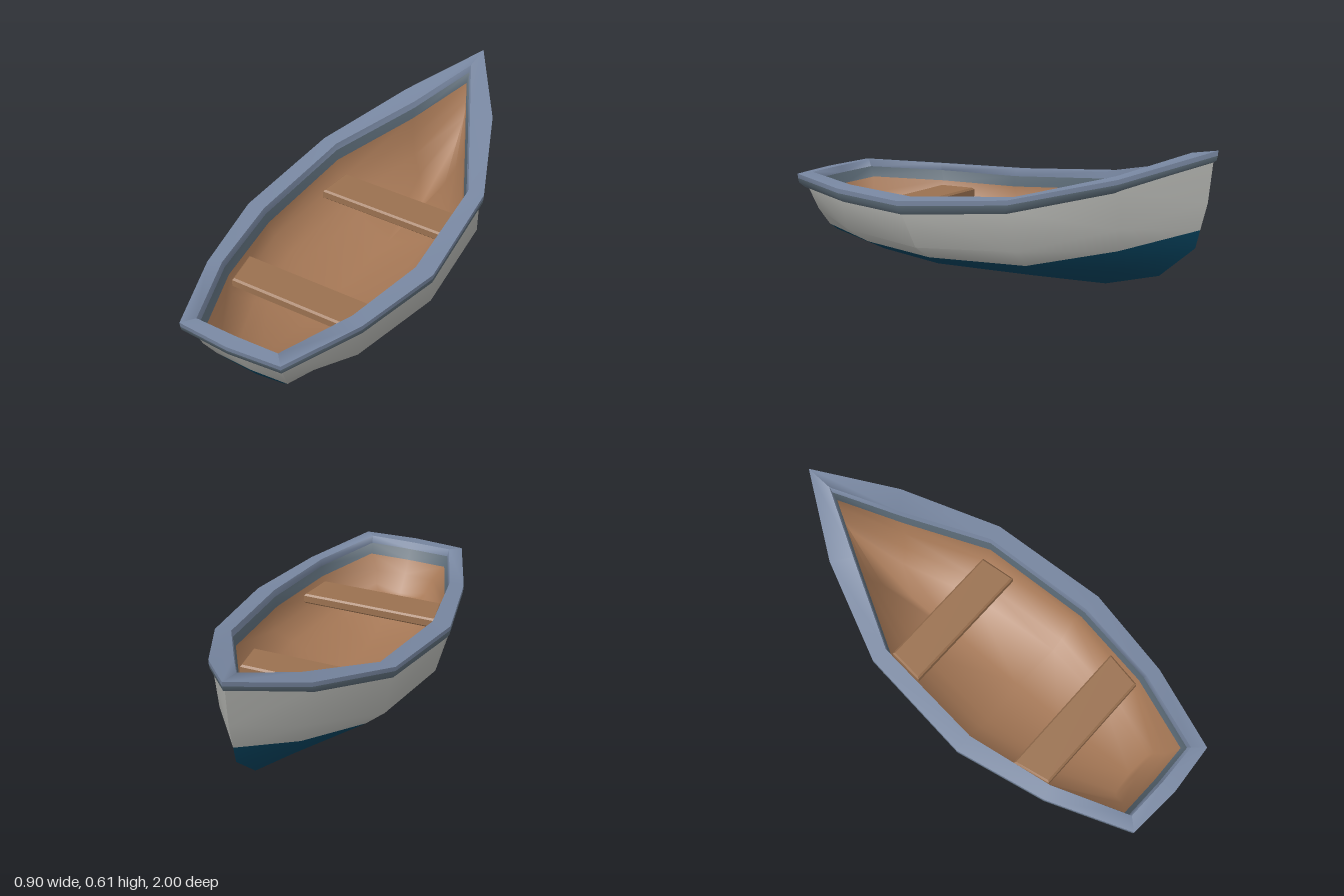
import * as THREE from 'three';
import { toCreasedNormals } from 'three/addons/utils/BufferGeometryUtils.js';

const mat = (name, color) => new THREE.MeshStandardMaterial({ name, color });

// Closed loop round the boat: bow, left side, stern centre, right side.
// pts run from bow to stern corner; sternZ pushes the stern centre outward.
function loop(pts, sternZ = 0.01) {
  const last = pts[pts.length - 1];
  const v = pts.map(p => new THREE.Vector3(...p));
  const mirrored = v.slice(1).reverse().map(p => new THREE.Vector3(-p.x, p.y, p.z));
  return [...v, new THREE.Vector3(0, last[1], last[2] + sternZ), ...mirrored];
}

// Skin between successive loops; bands gives the material index of each strip.
function skin(loops, bands, crease) {
  const pos = [], geo = new THREE.BufferGeometry();
  const tri = (a, b, c) => {
    const area = b.clone().sub(a).cross(c.clone().sub(a)).length();
    if (area > 1e-7) for (const p of [a, b, c]) pos.push(p.x, p.y, p.z);
  };
  bands.forEach((band, k) => {
    const lo = loops[k], up = loops[k + 1], n = lo.length, start = pos.length / 3;
    for (let i = 0; i < n; i++) {
      const j = (i + 1) % n;
      // Diagonals are mirrored between the two sides
      if (i < n / 2) {
        tri(lo[j], lo[i], up[j]);
        tri(lo[i], up[i], up[j]);
      } else {
        tri(lo[j], lo[i], up[i]);
        tri(lo[j], up[i], up[j]);
      }
    }
    geo.addGroup(start, pos.length / 3 - start, band);
  });
  geo.setAttribute('position', new THREE.Float32BufferAttribute(pos, 3));
  return toCreasedNormals(geo, crease);
}

export function createModel() {
  const boat = new THREE.Group();
  boat.name = 'rowingBoat';
  const paint = mat('greyHullPaint', 0xb0b1ad);
  const bottom = mat('deepBlueBottom', 0x053f59);
  const trim = mat('slateTrim', 0x7786a0);
  const darkTrim = mat('darkSlateTrim', 0x596874);
  const wood = mat('insideWood', 0xa67856);
  const seatWood = mat('seatWood', 0x99704f);
  const add = (name, geo, m) => {
    const mesh = new THREE.Mesh(geo, m);
    mesh.name = name;
    boat.add(mesh);
  };

  // Hull lines from keel to sheer, each from bow to stern corner
  const keel = loop([[0, .08, -.75], [0, .01, -.5], [0, 0, -.2], [0, 0, .15], [0, .003, .4], [0, .055, .82]], 0);
  const bilge = loop([[0, .215, -.91], [.1, .11, -.63], [.21, .055, -.28], [.25, .045, .17], [.21, .055, .5], [.14, .083, .832]]);
  const water = loop([[0, .29, -.93], [.15, .195, -.65], [.28, .11, -.3], [.31, .083, .17], [.255, .087, .55], [.17, .11, .85]]);
  const chine = loop([[0, .4, -.96], [.185, .29, -.68], [.365, .185, -.31], [.41, .145, .16], [.335, .15, .6], [.195, .18, .895]]);
  const sheer = loop([[0, .565, -.98], [.2, .45, -.69], [.38, .345, -.29], [.43, .29, .22], [.35, .285, .62], [.21, .29, .95]]);
  add('hull', skin([keel, bilge, water, chine, sheer], [0, 0, 1, 1], .93), [bottom, paint]);

  // Gunwale rail
  const outer = loop([[0, .61, -1], [.22, .495, -.69], [.4, .395, -.29], [.45, .338, .22], [.37, .33, .62], [.235, .333, .98]], .018);
  const inner = loop([[0, .59, -.885], [.14, .49, -.63], [.33, .397, -.28], [.37, .345, .22], [.31, .34, .6], [.19, .34, .93]], .005);
  const drop = (line, s, d) => line.map(p => new THREE.Vector3(p.x * s, p.y - d, p.z * s));
  const under = drop(outer, .965, .057);
  const lip = drop(inner, .985, .03);
  add('rail', skin([under, drop(outer, .993, .04), drop(outer, .998, .02), outer, inner, lip, under],
    [1, 1, 0, 0, 0, 1], 1.2), [trim, darkTrim]);

  // Inside lining: a painted band below the rail, then wood at plank thickness inside the hull
  const inset = (line, dx, lift) => line.map(p => new THREE.Vector3(
    Math.sign(p.x) * Math.max(0, Math.abs(p.x) - dx), p.y + lift, p.z * .927 + .025));
  add('insideLining', skin([
    lip, drop(inner, .96, .075), inset(chine, .055, .025), inset(water, .045, .045), inset(bilge, .035, .05), inset(keel, 0, .055),
  ], [0, 1, 1, 1, 1], Math.PI), [darkTrim, wood]);

  // Two bench seats, tapered to follow the sides
  const seat = (name, zBack, xBack, zFront, xFront) => {
    const outline = new THREE.Shape([[-xFront, -zFront], [xFront, -zFront], [xBack, -zBack], [-xBack, -zBack]]
      .map(p => new THREE.Vector2(...p)));
    const geo = new THREE.ExtrudeGeometry(outline, {
      depth: .03, bevelThickness: .008, bevelSize: .008, bevelOffset: -.008, bevelSegments: 1,
    });
    add(name, geo.rotateX(-Math.PI / 2).translate(0, .21, 0), seatWood);
  };
  seat('bowSeat', -.29, .29, -.13, .305);
  seat('sternSeat', .41, .315, .575, .285);
  return boat;
}
